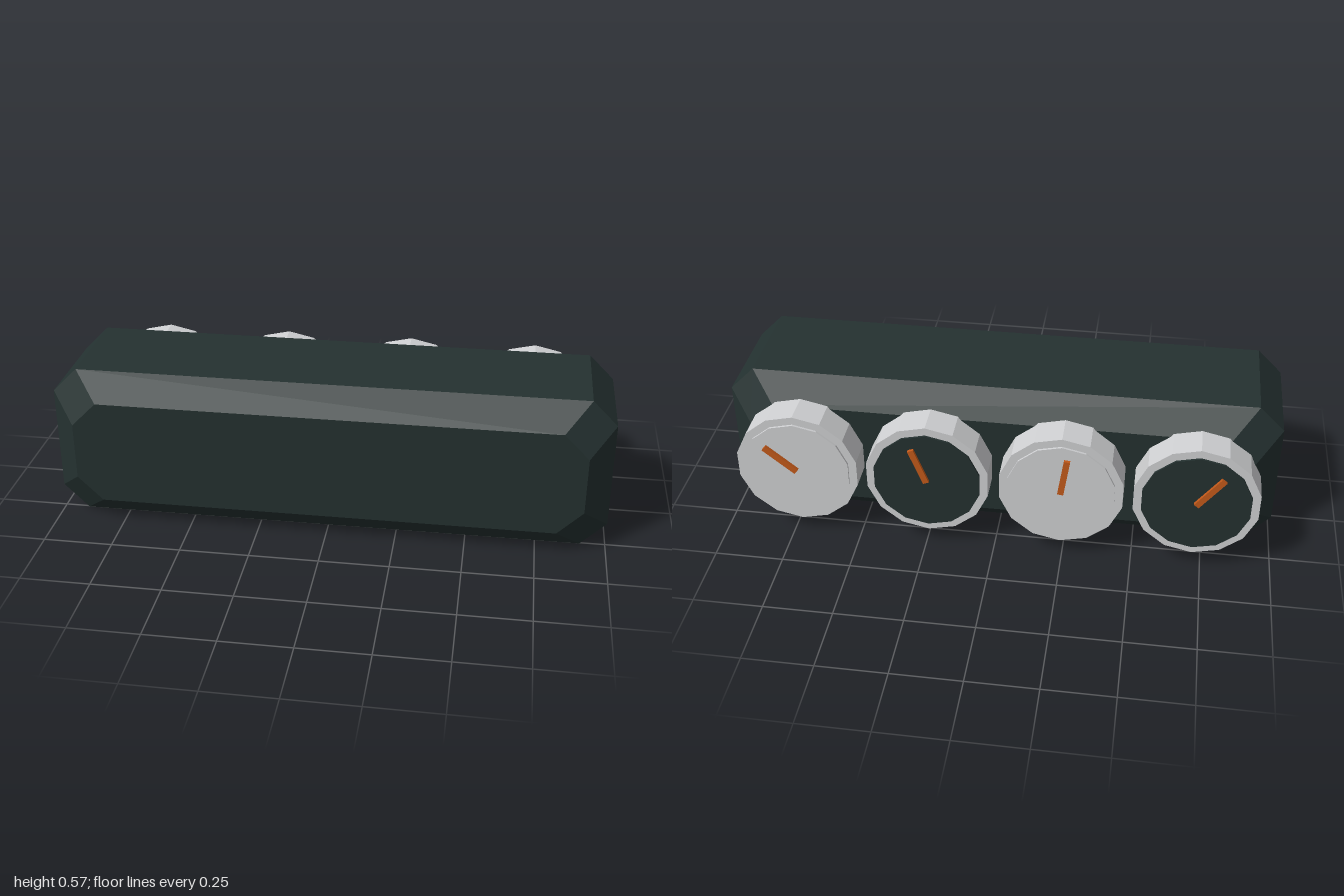
import * as THREE from 'three';
import { ConvexGeometry } from 'three/addons/geometries/ConvexGeometry.js';

const mat = (name, color) => new THREE.MeshStandardMaterial({ name, color, flatShading: true });

export function createModel() {
  const dark = mat('dark green', 0x243130);
  const grey = mat('light grey', 0xd0d1d3);
  const orange = mat('orange', 0xc45a1a);
  const model = new THREE.Group();
  model.name = 'knobPanel';

  const add = (parent, name, geometry, material, x = 0, y = 0, z = 0) => {
    const mesh = new THREE.Mesh(geometry, material);
    mesh.name = name;
    mesh.position.set(x, y, z);
    parent.add(mesh);
    return mesh;
  };

  // Housing: cut-corner sections, with smaller ones closing the front and back
  const cut = 0.09, midY = 0.285;
  const points = [];
  for (const [z, hx, hy] of [[0.345, 0.91, 0.195], [0.255, 1, 0.285], [-0.125, 1, 0.285], [-0.215, 0.91, 0.195]]) {
    for (const sx of [-1, 1]) for (const sy of [-1, 1]) {
      points.push(new THREE.Vector3(sx * hx, midY + sy * (hy - cut), z));
      points.push(new THREE.Vector3(sx * (hx - cut), midY + sy * hy, z));
    }
  }
  add(model, 'housing', new ConvexGeometry(points), dark);

  // Fourteen-sided disc facing the back
  const disc = (radius, depth) => new THREE.CylinderGeometry(radius, radius, depth, 14).rotateX(-Math.PI / 2);

  // Row of knobs, alternating cap colours, each pointer turned further
  const knobs = [[-0.715, -37, dark], [-0.24, -8, grey], [0.24, 21, dark], [0.715, 50, grey]];
  for (const [x, degrees, capMaterial] of knobs) {
    const knob = new THREE.Group();
    knob.name = 'knob';
    knob.position.set(x, midY, 0);
    model.add(knob);
    add(knob, 'knobBody', disc(0.225, 0.118), grey, 0, 0, -0.266);
    add(knob, 'knobCap', disc(0.195, 0.008), capMaterial, 0, 0, -0.329);
    const bar = new THREE.BoxGeometry(0.022, 0.145, 0.012).translate(0, 0.0725, 0);
    add(knob, 'pointer', bar, orange, 0, 0, -0.339).rotation.z = -THREE.MathUtils.degToRad(degrees);
  }
  return model;
}
